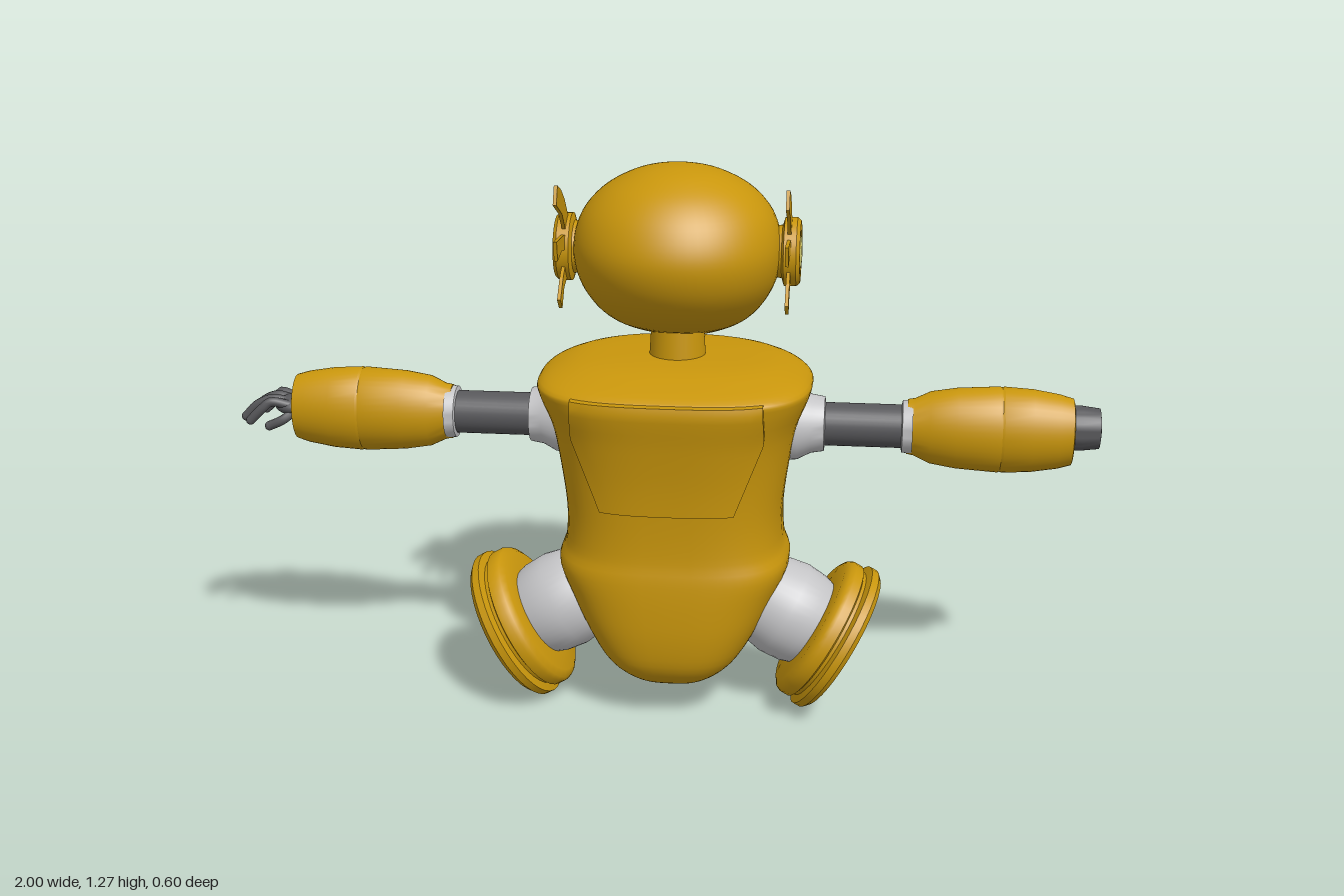
import * as THREE from 'three';
import { toCreasedNormals } from 'three/addons/utils/BufferGeometryUtils.js';

const mat = (name, color, side = THREE.FrontSide) => {
  const m = new THREE.MeshStandardMaterial({ color, side });
  m.name = name;
  return m;
};

// Rings are [y, half width, z front, z back]; returns a smooth section at t in 0..1
function sections(rings) {
  const n = rings.length - 1;
  return (t) => {
    const f = Math.min(Math.max(t, 0), 1) * n, i = Math.min(Math.floor(f), n - 1), k = f - i;
    const at = (j) => rings[Math.min(Math.max(j, 0), n)];
    return rings[0].map((_, c) => {
      const [p, q, r, s] = [at(i - 1)[c], at(i)[c], at(i + 1)[c], at(i + 2)[c]];
      return q + 0.5 * k * (r - p + k * (2 * p - 5 * q + 4 * r - s + k * (3 * (q - r) + s - p)));
    });
  };
}

// Closed body through superelliptic sections, with separate front and back exponents
function bodyGeometry(sec, nf, nb, rows = 56, cols = 64) {
  const pos = [], idx = [];
  const pw = (v, n) => Math.sign(v) * Math.pow(Math.abs(v), 2 / n);
  for (let j = 0; j <= rows; j++) {
    const [y, a, zf, zb] = sec(j / rows);
    for (let i = 0; i < cols; i++) {
      const th = (i / cols) * Math.PI * 2, s = Math.sin(th), n = s > 0 ? nf : nb;
      pos.push(a * pw(Math.cos(th), n), y, (zf + zb) / 2 + ((zf - zb) / 2) * pw(s, n));
      if (j < rows) {
        const p = j * cols + i, q = j * cols + ((i + 1) % cols);
        idx.push(p, p + cols, q + cols, p, q + cols, q);
      }
    }
  }
  return grid(pos, idx);
}

function grid(pos, idx) {
  const g = new THREE.BufferGeometry();
  g.setAttribute('position', new THREE.Float32BufferAttribute(pos, 3));
  g.setIndex(idx);
  g.computeVertexNormals();
  return g;
}

// Raised plate that follows a body: side s is +1 (+z) or -1 (-z)
function plateGeometry(sec, n, s, y0, y1, half, lift) {
  const N = 18, pos = [], idx = [];
  const zAt = (x, y) => {
    let lo = 0, hi = 1;
    for (let k = 0; k < 24; k++) {
      const m = (lo + hi) / 2;
      if (sec(m)[0] < y) lo = m; else hi = m;
    }
    const [, a, zf, zb] = sec(lo);
    const u = Math.min(Math.abs(x) / a, 1);
    return (zf + zb) / 2 + s * ((zf - zb) / 2) * Math.pow(1 - Math.pow(u, n), 1 / n);
  };
  const step = (i) => Math.min(Math.max(i - 1, 0), N - 2) / (N - 2);
  for (let j = 0; j <= N; j++) for (let i = 0; i <= N; i++) {
    const v = step(j), y = y0 + (y1 - y0) * v, x = (step(i) * 2 - 1) * half(v);
    const rim = i === 0 || j === 0 || i === N || j === N;
    pos.push(x, y, zAt(x, y) + s * (rim ? -0.01 : lift));
    if (i < N && j < N) {
      const a = j * (N + 1) + i, b = a + 1, c = a + N + 1, d = c + 1;
      if (s > 0) idx.push(a, b, d, a, d, c); else idx.push(a, d, b, a, c, d);
    }
  }
  return toCreasedNormals(grid(pos, idx), 0.7);
}

export function createModel() {
  const yellow = mat('amber paint', 0xc9960c, THREE.DoubleSide);
  const grey = mat('light grey metal', 0xc4c4c6, THREE.DoubleSide);
  const dark = mat('dark rubber', 0x58585b);
  const pale = mat('pale lamp', 0xd9d276);

  const root = new THREE.Group();
  root.name = 'robot';
  const model = new THREE.Group();
  model.name = 'robotBody';
  model.position.x = 0.037;
  root.add(model);

  const add = (parent, name, geo, material, x = 0, y = 0, z = 0) => {
    const m = new THREE.Mesh(geo, material);
    m.name = name;
    m.position.set(x, y, z);
    parent.add(m);
    return m;
  };
  const lathe = (pts) => toCreasedNormals(
    new THREE.LatheGeometry(pts.map(([r, t]) => new THREE.Vector2(r, t)), 40), 0.6);
  // Lathe turned so its axis points along +x
  const latheX = (pts) => lathe(pts).rotateZ(-Math.PI / 2);

  // Torso with chest hatch and belly plate
  const torso = sections([
    [0.076, 0.001, 0.08, 0.078], [0.085, 0.06, 0.15, 0], [0.105, 0.105, 0.195, -0.05],
    [0.15, 0.155, 0.235, -0.1], [0.22, 0.2, 0.25, -0.15], [0.3, 0.24, 0.253, -0.195],
    [0.37, 0.268, 0.25, -0.212], [0.42, 0.253, 0.243, -0.22], [0.5, 0.25, 0.243, -0.227],
    [0.6, 0.262, 0.25, -0.237], [0.7, 0.28, 0.265, -0.25], [0.775, 0.308, 0.28, -0.247],
    [0.805, 0.308, 0.275, -0.235], [0.828, 0.265, 0.2, -0.21], [0.842, 0.19, 0.12, -0.16],
    [0.846, 0.001, 0.001, 0]]);
  add(model, 'torso', bodyGeometry(torso, 3, 2.2), yellow);
  add(model, 'chestHatch', plateGeometry(torso, 3, 1, 0.54, 0.803,
    (v) => (v < 0.65 ? 0.15 + 0.1 * v : 0.215 - 0.01 * (v - 0.65)), 0.02), yellow);
  add(model, 'bellyPlate', plateGeometry(torso, 2.2, -1, 0.31, 0.57, () => 0.14, 0.005), yellow);
  for (const x of [-0.12, 0.12]) {
    add(model, 'rivet', new THREE.SphereGeometry(0.008, 10, 8), yellow, x, 0.335, -0.187);
  }

  // Round port on the belly, facing -z
  const port = new THREE.Group();
  port.name = 'port';
  port.position.set(-0.005, 0.54, -0.2);
  port.rotation.x = -Math.PI / 2;
  model.add(port);
  add(port, 'portRim', lathe([[0.09, 0], [0.092, 0.065], [0.104, 0.07], [0.104, 0.09],
    [0.098, 0.097], [0.078, 0.097], [0.075, 0.08]]), yellow);
  add(port, 'portGlass', lathe([[0.077, 0.078], [0.06, 0.087], [0.03, 0.092], [0, 0.094]]), grey);

  // Neck and head
  add(model, 'neck', new THREE.CylinderGeometry(0.058, 0.066, 0.13, 32), yellow, 0, 0.885, 0);
  const head = sections([
    [0.868, 0.001, -0.099, -0.1], [0.874, 0.06, -0.04, -0.15], [0.89, 0.11, 0.01, -0.182],
    [0.925, 0.16, 0.105, -0.21], [0.97, 0.197, 0.175, -0.222], [1.03, 0.225, 0.223, -0.226],
    [1.1, 0.234, 0.24, -0.226], [1.17, 0.216, 0.217, -0.205], [1.225, 0.17, 0.17, -0.16],
    [1.262, 0.105, 0.105, -0.095], [1.278, 0.045, 0.045, -0.04], [1.281, 0.001, 0.001, 0]]);
  add(model, 'head', bodyGeometry(head, 2, 2.2), yellow);
  add(model, 'visor', plateGeometry(head, 2.2, -1, 0.985, 1.138,
    (v) => 0.15 + 0.025 * v, 0.004), grey);
  add(model, 'visorBrow', plateGeometry(head, 2.2, -1, 1.136, 1.147, () => 0.178, 0.014), yellow);

  // Ear fins, drawn as [z, y] outlines
  const fins = [
    [[0, 1.155], [0.05, 1.205], [0.095, 1.235], [0.145, 1.255], [0.165, 1.215], [0.09, 1.18], [0.04, 1.13]],
    [[0.05, 1.125], [0.09, 1.13], [0.17, 1.135], [0.16, 1.09], [0.1, 1.1], [0.05, 1.09]],
    [[0.05, 1.06], [0.09, 1.035], [0.13, 0.995], [0.105, 0.97], [0.075, 1.01], [0.025, 1.025]]];
  const finGeometries = fins.map((pts) => new THREE.ExtrudeGeometry(
    new THREE.Shape(pts.map(([z, y]) => new THREE.Vector2(z, y))),
    { depth: 0.008, bevelEnabled: false }).translate(0, 0, -0.004).rotateY(-Math.PI / 2));

  for (const s of [1, -1]) {
    const label = s > 0 ? 'left' : 'right';
    for (const g of finGeometries) add(model, label + 'EarFin', g, yellow, s * 0.252, 0, 0);

    // Half turn carries the limbs to the other side
    const side = new THREE.Group();
    side.name = label + 'Side';
    side.rotation.y = s > 0 ? 0 : Math.PI;
    model.add(side);

    // Ear
    add(side, label + 'Ear', latheX([[0.055, 0.2], [0.06, 0.235], [0.077, 0.24], [0.077, 0.268],
      [0.07, 0.276], [0.05, 0.276], [0.046, 0.27], [0, 0.27]]), yellow, 0, 1.085, -s * 0.01);
    add(side, label + 'EarLamp', latheX([[0.043, 0.268], [0.043, 0.273], [0.03, 0.278], [0, 0.28]]),
      pale, 0, 1.085, -s * 0.01);

    // Arm
    add(side, label + 'ShoulderSocket', latheX([[0.088, 0.235], [0.084, 0.28], [0.068, 0.31],
      [0.063, 0.34], [0.048, 0.342]]), grey, 0, 0.685, 0);
    add(side, label + 'UpperArm', new THREE.CylinderGeometry(0.05, 0.05, 0.4, 32)
      .rotateZ(-Math.PI / 2), dark, 0.4, 0.685, 0);
    add(side, label + 'ElbowRing', latheX([[0.05, 0.515], [0.06, 0.517], [0.062, 0.54]]),
      grey, 0, 0.685, 0);
    add(side, label + 'Forearm', latheX([[0.05, 0.527], [0.064, 0.528], [0.067, 0.545], [0.084, 0.58],
      [0.094, 0.64], [0.1, 0.735], [0.098, 0.74], [0.1, 0.745], [0.096, 0.81], [0.086, 0.87],
      [0.077, 0.9], [0.07, 0.902], [0.066, 0.87], [0, 0.86]]).scale(1, 1, 0.8), yellow, 0, 0.685, 0);

    // Leg socket and drum foot
    const leg = new THREE.Group();
    leg.name = label + 'Leg';
    leg.position.set(0.363, 0.186, s * 0.055);
    leg.rotation.z = -Math.PI * 2 / 3;
    side.add(leg);
    add(leg, label + 'HipSocket', lathe([[0.085, -0.22], [0.108, -0.17], [0.117, -0.12],
      [0.113, -0.07], [0.1, -0.03]]), grey);
    add(leg, label + 'FootDrum', lathe([[0.09, -0.05], [0.155, -0.05], [0.17, -0.04], [0.175, -0.03],
      [0.175, -0.01], [0.165, -0.005], [0.165, 0.003], [0.184, 0.008], [0.184, 0.026], [0.172, 0.038],
      [0.14, 0.04], [0.126, 0.03], [0.124, 0.02], [0, 0.02]]), yellow);
    add(leg, label + 'FootPlate', lathe([[0.122, 0.018], [0.12, 0.026], [0, 0.027]]), grey);
  }

  // Blaster at the end of the left arm
  add(model, 'blaster', latheX([[0, 0.83], [0.05, 0.83], [0.051, 0.92], [0.046, 0.96], [0.034, 0.962],
    [0.031, 0.94], [0, 0.94]]), dark, 0, 0.695, 0);
  add(model, 'blasterLamp', latheX([[0.03, 0.938], [0.028, 0.944], [0, 0.946]]), pale, 0, 0.695, 0);

  // Open hand at the end of the right arm
  const palm = add(model, 'palm', new THREE.SphereGeometry(0.045, 20, 14), dark, -0.91, 0.69, 0);
  palm.scale.set(1, 0.5, 1.05);
  const finger = (name, pts) => {
    const curve = new THREE.CatmullRomCurve3(pts.map((p) => new THREE.Vector3(...p)));
    add(model, name, new THREE.TubeGeometry(curve, 14, 0.011, 10), dark);
    add(model, name + 'Tip', new THREE.SphereGeometry(0.011, 10, 8), dark, ...pts[pts.length - 1]);
  };
  [-0.05, -0.018, 0.014, 0.044].forEach((z, i) => {
    const reach = [0.03, 0.005, 0, 0.02][i];
    finger('finger', [[-0.91, 0.695, z * 0.7], [-0.955, 0.705, z * 0.9],
      [-0.995 + reach, 0.69, z], [-1.025 + reach, 0.66, z]]);
  });
  finger('thumb', [[-0.9, 0.685, 0.02], [-0.925, 0.665, 0.045], [-0.96, 0.648, 0.045]]);

  return root;
}
